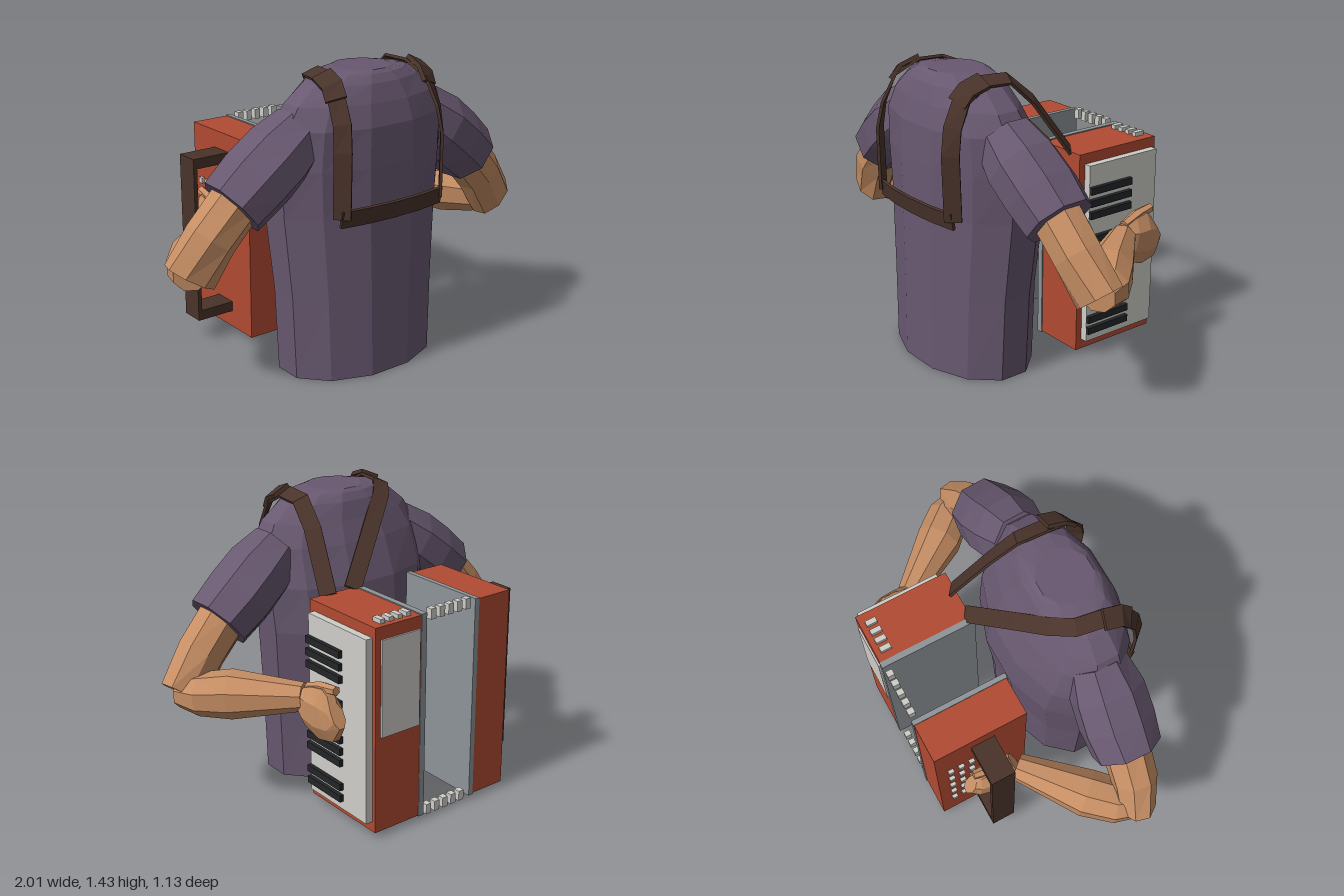
import * as THREE from 'three';

const material = (name, color) => {
  const m = new THREE.MeshStandardMaterial({ color });
  m.name = name;
  return m;
};
const V = (x, y, z) => new THREE.Vector3(x, y, z);

// Flat-shaded skin through closed rings of points, capped at both ends
function skin(rings) {
  const pos = [];
  const tri = (a, b, c) => pos.push(...a.toArray(), ...b.toArray(), ...c.toArray());
  const n = rings[0].length;
  for (let r = 0; r < rings.length - 1; r++) {
    for (let i = 0; i < n; i++) {
      const j = (i + 1) % n, a = rings[r], b = rings[r + 1];
      tri(a[i], b[i], a[j]);
      tri(a[j], b[i], b[j]);
    }
  }
  const first = rings[0], last = rings[rings.length - 1];
  for (let i = 1; i < n - 1; i++) {
    tri(first[0], first[i], first[i + 1]);
    tri(last[0], last[i + 1], last[i]);
  }
  const g = new THREE.BufferGeometry();
  g.setAttribute('position', new THREE.Float32BufferAttribute(pos, 3));
  g.computeVertexNormals();
  return g;
}

const tangentAt = (pts, i) =>
  pts[Math.min(i + 1, pts.length - 1)].clone().sub(pts[Math.max(i - 1, 0)]).normalize();

// Elliptical rings along a path; each section is [x, y, z, radiusSide, radiusUp]
function loft(sections, sides, ref = V(0, 1, 0), fixedTangent = null) {
  const pts = sections.map(s => V(s[0], s[1], s[2]));
  return skin(sections.map((s, i) => {
    const t = fixedTangent || tangentAt(pts, i);
    const side = t.clone().cross(ref).normalize();
    const up = side.clone().cross(t);
    return Array.from({ length: sides }, (_, k) => {
      const a = ((k + 0.5) / sides) * Math.PI * 2;
      return pts[i].clone()
        .addScaledVector(side, Math.cos(a) * s[3])
        .addScaledVector(up, Math.sin(a) * s[4]);
    });
  }));
}

// Flat belt along points, lying against the body
function belt(points, width, thick) {
  const pts = points.map(p => V(...p));
  return skin(pts.map((p, i) => {
    const t = tangentAt(pts, i);
    const out = p.clone().sub(V(-0.02, 0.85, 0.28));
    const side = t.clone().cross(out).normalize();
    const up = side.clone().cross(t);
    return [[1, 1], [-1, 1], [-1, -1], [1, -1]].map(([a, b]) => p.clone()
      .addScaledVector(side, a * width / 2)
      .addScaledVector(up, b * thick / 2));
  }));
}

export function createModel() {
  const root = new THREE.Group();
  root.name = 'accordionPlayer';
  const shirt = material('shirt purple', 0x685870);
  const skinTone = material('skin', 0xc68e64);
  const red = material('case red', 0xb04a33);
  const brown = material('leather brown', 0x49332a);
  const metal = material('frame grey', 0x8e9498);
  const ivory = material('ivory grey', 0xcfcec9);
  const black = material('key black', 0x222527);

  const add = (name, geometry, mat, parent = root) => {
    const m = new THREE.Mesh(geometry, mat);
    m.name = name;
    parent.add(m);
    return m;
  };
  // Box given by its minimum and maximum on each axis
  const box = (name, x0, x1, y0, y1, z0, z1, mat, parent) =>
    add(name, new THREE.BoxGeometry(x1 - x0, y1 - y0, z1 - z0), mat, parent)
      .position.set((x0 + x1) / 2, (y0 + y1) / 2, (z0 + z1) / 2);

  // Torso: [height, half width, centre z, half depth]
  const torso = [
    [0, 0.415, 0.272, 0.27], [0.4, 0.43, 0.265, 0.27], [0.78, 0.46, 0.242, 0.288],
    [1.0, 0.475, 0.255, 0.275], [1.18, 0.46, 0.285, 0.24], [1.28, 0.40, 0.295, 0.205],
    [1.36, 0.30, 0.295, 0.175], [1.395, 0.23, 0.295, 0.15], [1.41, 0.135, 0.295, 0.13],
  ].map(([y, hx, zc, hz]) => [-0.025, y, zc, hx, hz]);
  add('torso', loft(torso, 12, V(0, 0, 1), V(0, 1, 0)), shirt);

  // Arms, mirrored about the slightly offset body centre
  for (const s of [1, -1]) {
    const arm = new THREE.Group();
    arm.name = s > 0 ? 'leftArm' : 'rightArm';
    root.add(arm);
    const ox = s > 0 ? 0 : -0.03;
    const P = (x, y, z, a, b) => [s * x + ox, y, z, a, b];
    add('sleeve', loft([
      P(0.32, 1.15, 0.28, 0.14, 0.14), P(0.44, 1.06, 0.275, 0.175, 0.165),
      P(0.56, 0.965, 0.265, 0.18, 0.165), P(0.675, 0.87, 0.26, 0.165, 0.155),
    ], 8), shirt, arm);
    const ex = s > 0 ? 0 : 0.025;
    add('upperArm', loft([
      P(0.62, 0.92, 0.26, 0.115, 0.12), P(0.78, 0.745, 0.25, 0.11, 0.12),
      P(0.90 - ex, 0.585, 0.225, 0.09, 0.125),
    ], 8), skinTone, arm);
    const wx = s > 0 ? 0.545 : 0.46, wz = s > 0 ? -0.23 : -0.19;
    add('forearm', loft([
      P(0.90 - ex, 0.595, 0.235, 0.08, 0.075), P(0.85 - ex, 0.595, 0.15, 0.11, 0.1),
      P(0.75 - ex, 0.605, 0.04, 0.115, 0.115), P(wx, 0.63, wz, 0.065, 0.065),
    ], 8), skinTone, arm);
    // Hand with thumb and curled fingers
    const hx = s > 0 ? 0.535 : 0.44, hz = s > 0 ? 0 : 0.03;
    add('hand', loft([
      P(hx, 0.63, hz - 0.22, 0.055, 0.06), P(hx, 0.605, hz - 0.28, 0.065, 0.115),
      P(hx - 0.005, 0.595, hz - 0.36, 0.065, 0.135), P(hx - 0.01, 0.59, hz - 0.42, 0.055, 0.115),
      P(hx - 0.01, 0.61, hz - 0.455, 0.035, 0.06),
    ], 8), skinTone, arm);
    add('thumb', loft([
      P(hx, 0.68, hz - 0.25, 0.025, 0.025), P(hx - 0.01, 0.71, hz - 0.34, 0.03, 0.025),
      P(hx - 0.02, 0.72, hz - 0.43, 0.022, 0.022),
    ], 6), skinTone, arm);
  }

  // Accordion case halves and inner frames
  const accordion = new THREE.Group();
  accordion.name = 'accordion';
  root.add(accordion);
  box('trebleCase', 0.145, 0.4, 0.03, 1.02, -0.555, -0.085, red, accordion);
  box('bassCase', -0.385, -0.195, 0.03, 1.02, -0.555, -0.085, red, accordion);
  box('trebleFrame', 0.115, 0.145, 0.025, 1.025, -0.558, -0.08, metal, accordion);
  box('bassFrame', -0.195, -0.17, 0.025, 1.025, -0.558, -0.08, metal, accordion);
  box('grille', 0.155, 0.37, 0.5, 0.96, -0.564, -0.555, ivory, accordion);

  // Bellows clips along the top and bottom, and register switches
  for (let i = 0; i < 5; i++) {
    const x = -0.13 + i * 0.051;
    box('topClip', x - 0.015, x + 0.015, 0.985, 1.035, -0.555, -0.522, ivory, accordion);
    box('bottomClip', x - 0.015, x + 0.015, 0.012, 0.062, -0.548, -0.515, ivory, accordion);
  }
  for (let i = 0; i < 4; i++) {
    const x = 0.195 + i * 0.048;
    box('registerSwitch', x - 0.013, x + 0.013, 1.02, 1.04, -0.528, -0.475, ivory, accordion);
  }

  // Keyboard
  box('keyboard', 0.4, 0.435, 0.08, 0.97, -0.535, -0.118, ivory, accordion);
  for (const y of [0.85, 0.79, 0.73, 0.61, 0.55, 0.435, 0.377, 0.32, 0.198, 0.14]) {
    box('blackKey', 0.435, 0.455, y - 0.017, y + 0.017, -0.367, -0.117, black, accordion);
  }

  // Bass buttons
  for (let r = 0; r < 5; r++) {
    for (let c = 0; c < 3; c++) {
      const y = 0.26 + r * 0.12, z = -0.485 + c * 0.054;
      box('bassButton', -0.402, -0.385, y - 0.014, y + 0.014, z - 0.014, z + 0.014, ivory, accordion);
    }
  }

  // Hand strap
  box('handStrap', -0.58, -0.56, 0.115, 0.935, -0.37, -0.25, brown, accordion);
  for (const y of [0.115, 0.885]) {
    box('handStrapMount', -0.56, -0.385, y, y + 0.05, -0.37, -0.25, brown, accordion);
  }

  // Shoulder straps from the lower back over the shoulders to the treble case
  add('rightShoulderStrap', belt([
    [-0.31, 0.8, 0.525], [-0.31, 1.1, 0.53], [-0.30, 1.22, 0.51], [-0.29, 1.34, 0.45],
    [-0.27, 1.395, 0.34], [-0.25, 1.395, 0.22], [-0.18, 1.36, 0.13],
    [-0.04, 1.23, 0.035], [0.17, 1.02, -0.1],
  ], 0.08, 0.014), brown);
  add('leftShoulderStrap', belt([
    [0.265, 0.8, 0.525], [0.26, 1.1, 0.53], [0.25, 1.22, 0.51], [0.24, 1.34, 0.45],
    [0.23, 1.395, 0.34], [0.24, 1.39, 0.2], [0.26, 1.28, 0.08], [0.31, 1.02, -0.1],
  ], 0.08, 0.014), brown);
  // Shoulder pads
  for (const x of [-0.29, 0.24]) {
    add('shoulderPad', belt([
      [x - 0.01, 1.32, 0.468], [x, 1.375, 0.425], [x + 0.01, 1.405, 0.34],
    ], 0.095, 0.02), brown);
  }
  // Back strap joining both shoulder straps
  add('backStrap', belt([
    [-0.315, 0.8, 0.525], [-0.17, 0.8, 0.546], [-0.025, 0.8, 0.552],
    [0.12, 0.8, 0.546], [0.265, 0.8, 0.525],
  ], 0.08, 0.016), brown);

  return root;
}
